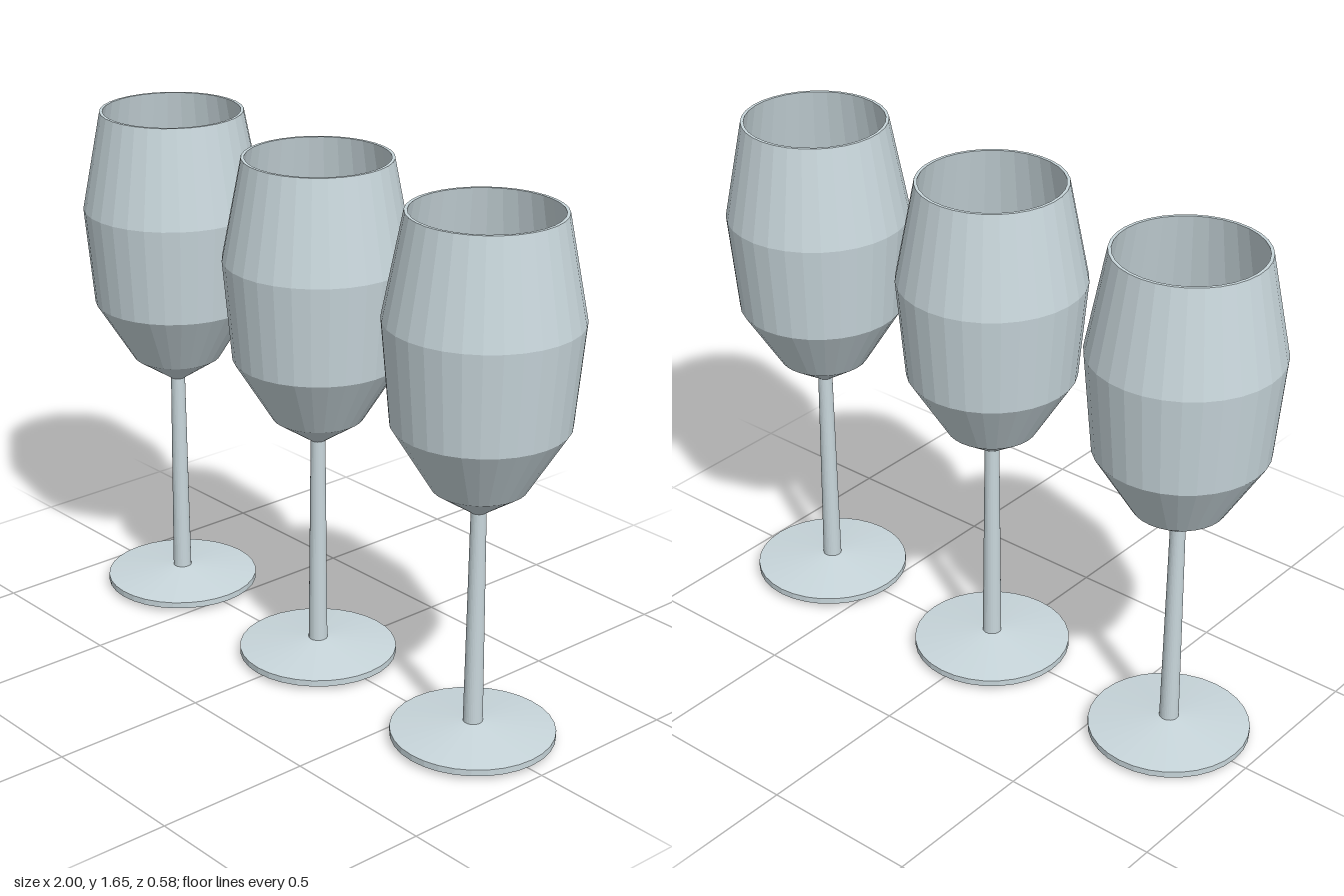
import * as THREE from 'three';

const glass = new THREE.MeshStandardMaterial({ color: 0xc8d6db, flatShading: true });
glass.name = 'pale grey glass';

// Turned part from [radius, height] pairs, listed bottom to top
function turned(name, profile) {
  const points = profile.map(([r, y]) => new THREE.Vector2(r, y));
  const mesh = new THREE.Mesh(new THREE.LatheGeometry(points, 32), glass);
  mesh.name = name;
  return mesh;
}

function wineGlass(name) {
  const group = new THREE.Group();
  group.name = name;
  group.add(
    // Disc foot with shallow cones above and below
    turned('foot', [[0, 0.005], [0.03, 0.005], [0.25, 0.02], [0.25, 0.04], [0.03, 0.066], [0, 0.066]]),
    // Slender tapering stem
    turned('stem', [[0.03, 0.06], [0.023, 0.76]]),
    // Bowl: outer wall up to the rim, then the inner wall down to the floor
    turned('bowl', [
      [0, 0.75], [0.023, 0.75], [0.142, 0.83], [0.262, 1.025], [0.29, 1.34], [0.229, 1.655],
      [0.219, 1.655], [0.278, 1.34], [0.25, 1.03], [0.126, 0.84], [0, 0.815],
    ]),
  );
  return group;
}

export function createModel() {
  const model = new THREE.Group();
  model.name = 'wineGlasses';
  // Three matching glasses in a row
  [['rightGlass', -0.71], ['middleGlass', 0], ['leftGlass', 0.71]].forEach(([name, x]) => {
    const item = wineGlass(name);
    item.position.set(x, -0.005, 0);
    model.add(item);
  });
  return model;
}
